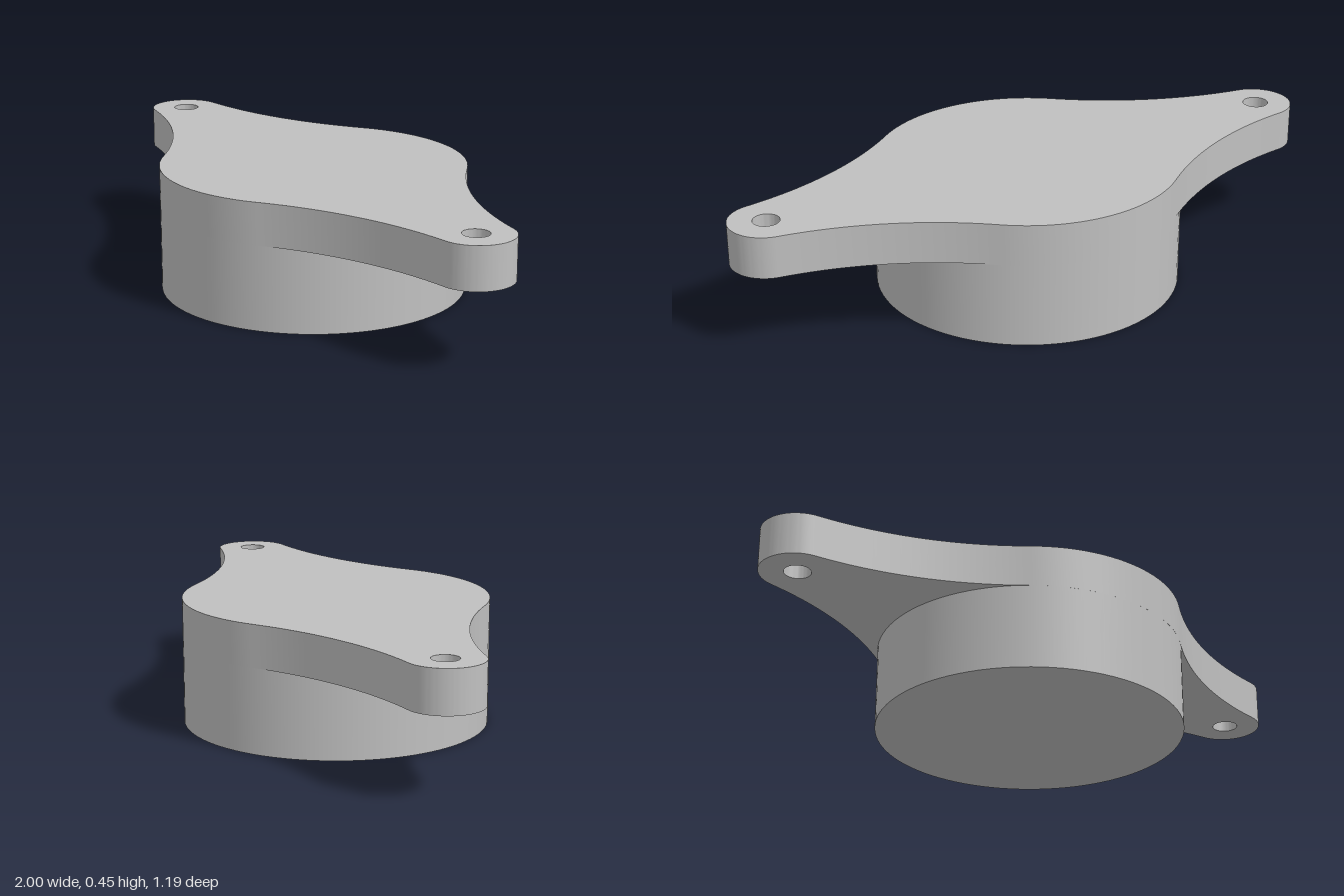
import * as THREE from 'three';
import { toCreasedNormals } from 'three/addons/utils/BufferGeometryUtils.js';

const BODY_R = 0.541, BODY_H = 0.298, TOP = 0.446;
const EAR_X = 0.87, EAR_Y = 0.467, EAR_R = 0.13, HOLE_R = 0.046;
const FILLET_R = 1.3;

// Centre of the concave arc that touches both the body circle and the ear circle
function filletCentre(side) {
  const d = Math.hypot(EAR_X, EAR_Y);
  const r0 = BODY_R + FILLET_R, r1 = EAR_R + FILLET_R;
  const a = (d * d + r0 * r0 - r1 * r1) / (2 * d);
  const h = side * Math.sqrt(r0 * r0 - a * a);
  return new THREE.Vector2((-EAR_X * a + EAR_Y * h) / d, (EAR_Y * a + EAR_X * h) / d);
}

function flangeShape() {
  const ear = new THREE.Vector2(-EAR_X, EAR_Y);
  const upper = filletCentre(1), lower = filletCentre(-1);
  const angle = (from, to) => Math.atan2(to.y - from.y, to.x - from.x);
  const origin = new THREE.Vector2();
  const shape = new THREE.Shape();

  // Each half: body arc, concave arc, ear, concave arc; the second half is turned by 180 degrees
  for (const [s, turn] of [[1, 0], [-1, Math.PI]]) {
    const arc = (c, r, a, b, clockwise) =>
      shape.absarc(s * c.x, s * c.y, r, a + turn, b + turn, clockwise);
    arc(origin, BODY_R, angle(origin, lower) + Math.PI, angle(origin, upper), false);
    arc(upper, FILLET_R, angle(upper, origin), angle(upper, ear), true);
    arc(ear, EAR_R, angle(ear, upper), angle(ear, lower), false);
    arc(lower, FILLET_R, angle(lower, ear), angle(lower, origin), true);

    // Bolt hole through the ear
    const hole = new THREE.Path();
    hole.absarc(s * ear.x, s * ear.y, HOLE_R, 0, Math.PI * 2, true);
    shape.holes.push(hole);
  }
  return shape;
}

export function createModel() {
  const group = new THREE.Group();
  group.name = 'flangedCap';
  const metal = new THREE.MeshStandardMaterial({ color: 0xc0c0c0 });
  metal.name = 'plain grey metal';

  // Two-eared mounting plate
  const plate = new THREE.ExtrudeGeometry(flangeShape(), {
    depth: TOP - BODY_H, bevelEnabled: false, curveSegments: 24,
  });
  plate.rotateX(-Math.PI / 2).translate(0, BODY_H, 0);
  const flange = new THREE.Mesh(toCreasedNormals(plate, 0.6), metal);
  flange.name = 'flangePlate';

  // Round plug under the plate
  const plug = new THREE.Mesh(new THREE.CylinderGeometry(BODY_R, BODY_R, BODY_H, 96), metal);
  plug.name = 'roundBody';
  plug.position.y = BODY_H / 2;

  group.add(flange, plug);
  return group;
}
